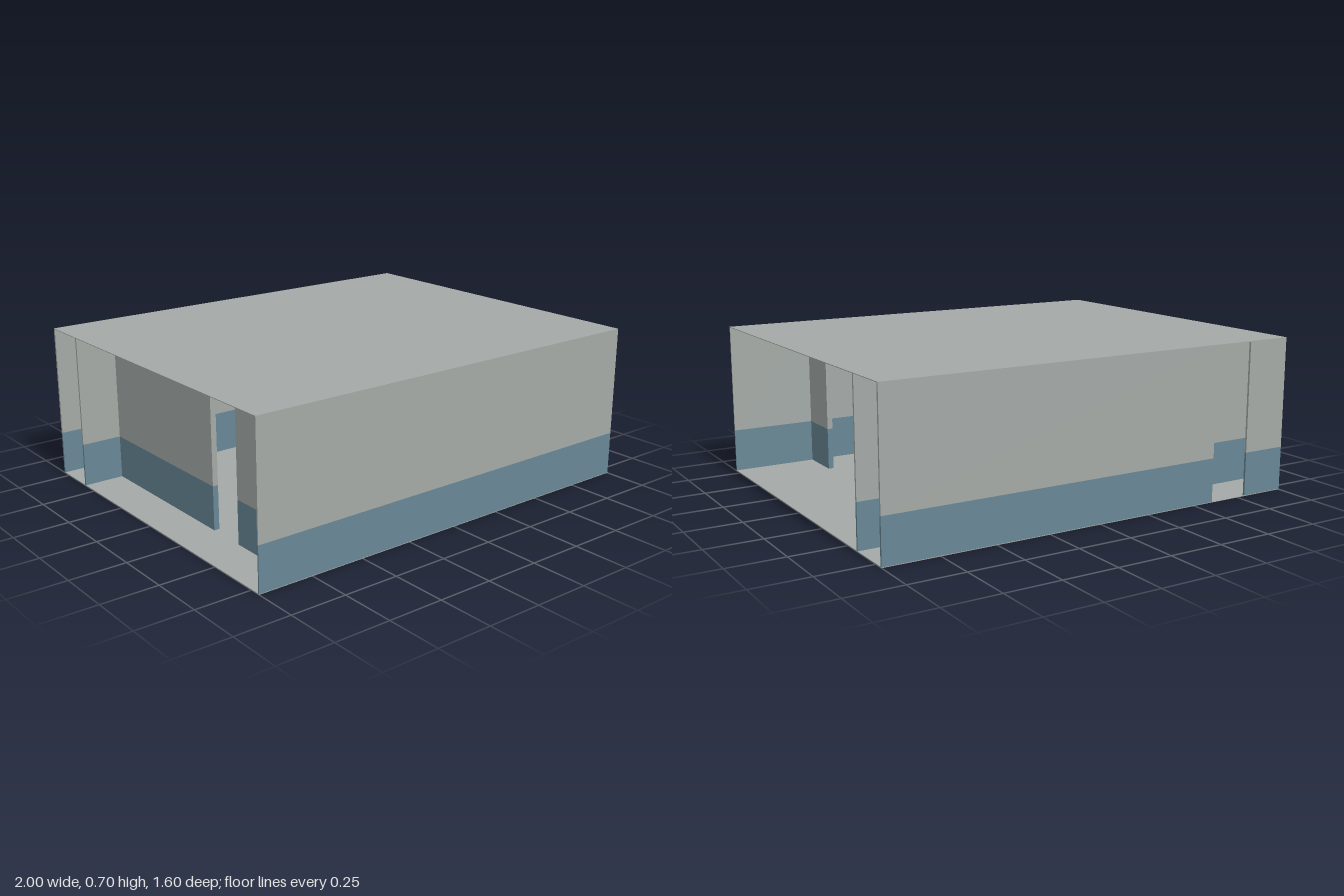
import * as THREE from 'three';

const HEIGHT = 0.7, DADO = 0.2, SLAB = 0.003;

export function createModel() {
  const model = new THREE.Group();
  model.name = 'building';

  const plaster = new THREE.MeshStandardMaterial({ color: 0xa4aaa7 });
  plaster.name = 'greyPlaster';
  const paint = new THREE.MeshStandardMaterial({ color: 0x688896 });
  paint.name = 'bluePaint';

  // Box given by its lower and upper corners
  function block(parent, name, material, x0, x1, y0, y1, z0, z1) {
    const mesh = new THREE.Mesh(new THREE.BoxGeometry(x1 - x0, y1 - y0, z1 - z0), material);
    mesh.position.set((x0 + x1) / 2, (y0 + y1) / 2, (z0 + z1) / 2);
    mesh.name = name;
    parent.add(mesh);
  }

  // Wall with a blue lower band and grey plaster above
  function wall(name, x0, x1, z0, z1) {
    const group = new THREE.Group();
    group.name = name;
    block(group, 'lowerBand', paint, x0, x1, SLAB, DADO, z0, z1);
    block(group, 'upperWall', plaster, x0, x1, DADO, HEIGHT - SLAB, z0, z1);
    model.add(group);
  }

  // Floor and roof slabs
  block(model, 'floor', plaster, -1, 1, 0, SLAB, -0.8, 0.8);
  block(model, 'roof', plaster, -1, 1, HEIGHT - SLAB, HEIGHT, -0.8, 0.8);

  // Front wall, divided by the ends of the two cross walls
  for (const [x0, x1] of [[-1, -0.815], [-0.79, 0.585], [0.61, 1]]) {
    wall('frontWall', x0, x1, 0.794, 0.8);
  }

  // Back wall with a doorway
  wall('backWall', -0.6, 1, -0.8, -0.79);
  wall('backWall', -1, -0.79, -0.8, -0.79);

  // Corridor wall, open at both ends of the passage
  wall('corridorWall', -1, 1, -0.59, -0.58);

  // Cross walls, each with a doorway
  for (const [x0, x1, doorStart, doorEnd] of [[-0.815, -0.79, 0.21, 0.39], [0.585, 0.61, 0.21, 0.59]]) {
    wall('crossWall', x0, x1, -0.58, doorStart);
    wall('crossWall', x0, x1, doorEnd, 0.8);
  }

  // Partition between the middle rooms
  wall('middlePartition', -0.11, -0.09, -0.58, 0.794);

  return model;
}
